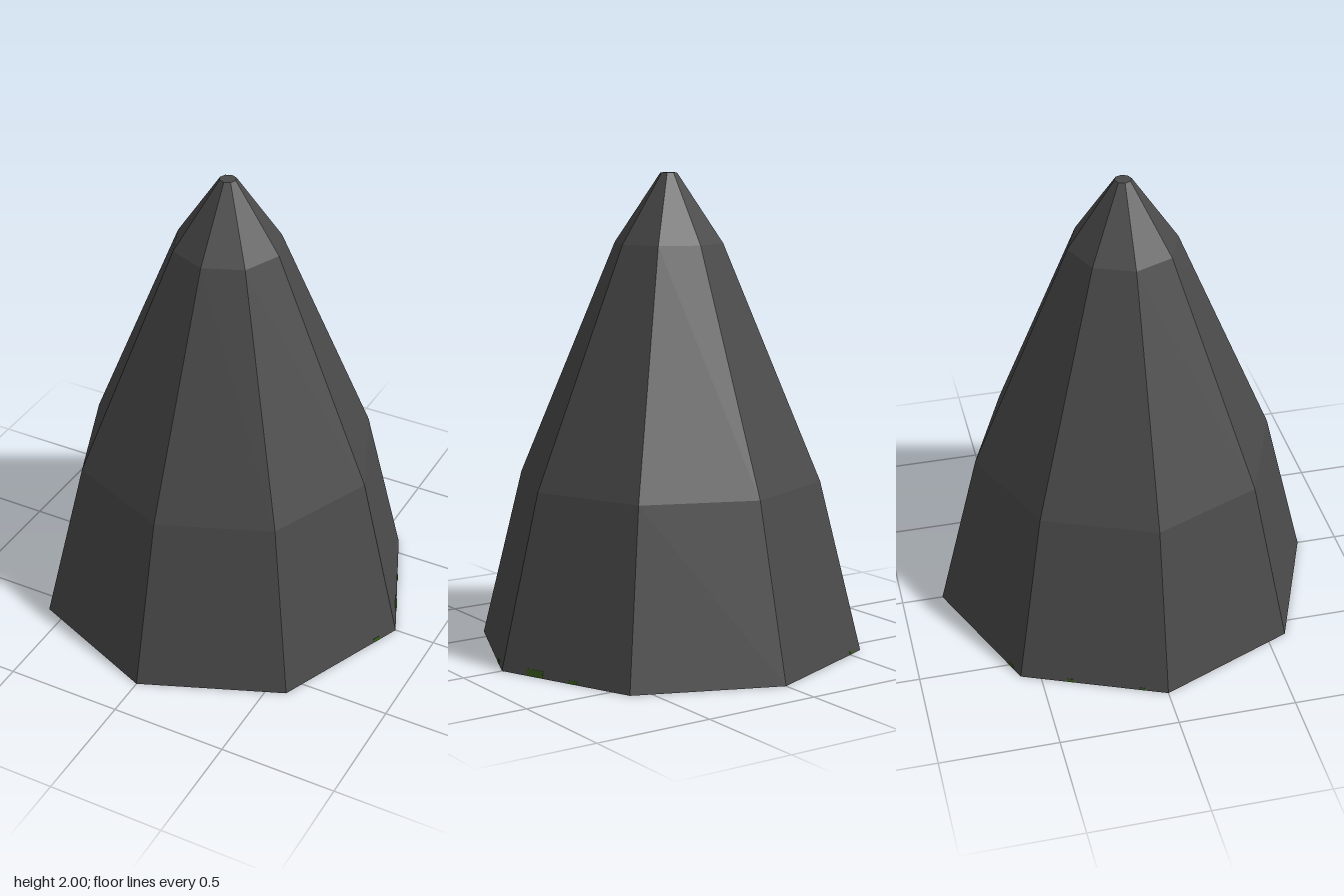
import * as THREE from 'three';

export function createModel() {
  const model = new THREE.Group();
  const stone = new THREE.MeshStandardMaterial({ color: 0x4a4a4a, flatShading: true, side: THREE.DoubleSide });
  stone.name = 'dark stone';
  const moss = new THREE.MeshStandardMaterial({ color: 0x35591a });
  moss.name = 'moss green';

  // Eight-sided hollow spike, open underneath, with a tiny flat tip
  const profile = [[0.823, 0], [0.645, 0.72], [0.23, 1.71], [0.035, 2], [0, 2]]
    .map(([r, y]) => new THREE.Vector2(r, y));
  const spike = new THREE.Mesh(new THREE.LatheGeometry(profile, 8), stone);
  spike.name = 'spike';
  model.add(spike);

  // Small moss flecks along the foot: [face angle, offset along face, width, height]
  const apothem = 0.823 * Math.cos(Math.PI / 8);
  const slope = (0.823 - 0.645) * Math.cos(Math.PI / 8) / 0.72;
  const flecks = [
    [112.5, -0.15, 0.08, 0.028], [112.5, 0.04, 0.04, 0.014], [67.5, 0.205, 0.035, 0.016],
    [247.5, -0.1, 0.03, 0.014], [247.5, 0.205, 0.02, 0.01], [202.5, 0.24, 0.03, 0.014],
  ];
  for (const [angle, offset, w, h] of flecks) {
    const holder = new THREE.Group();
    holder.name = 'mossFleck';
    holder.rotation.y = THREE.MathUtils.degToRad(angle);
    const fleck = new THREE.Mesh(new THREE.BoxGeometry(w, h, 0.004), moss);
    fleck.name = 'fleck';
    fleck.position.set(offset, h / 2 + 0.001, apothem - slope * h / 2);
    fleck.rotation.x = -Math.atan(slope);
    holder.add(fleck);
    model.add(holder);
  }
  return model;
}
